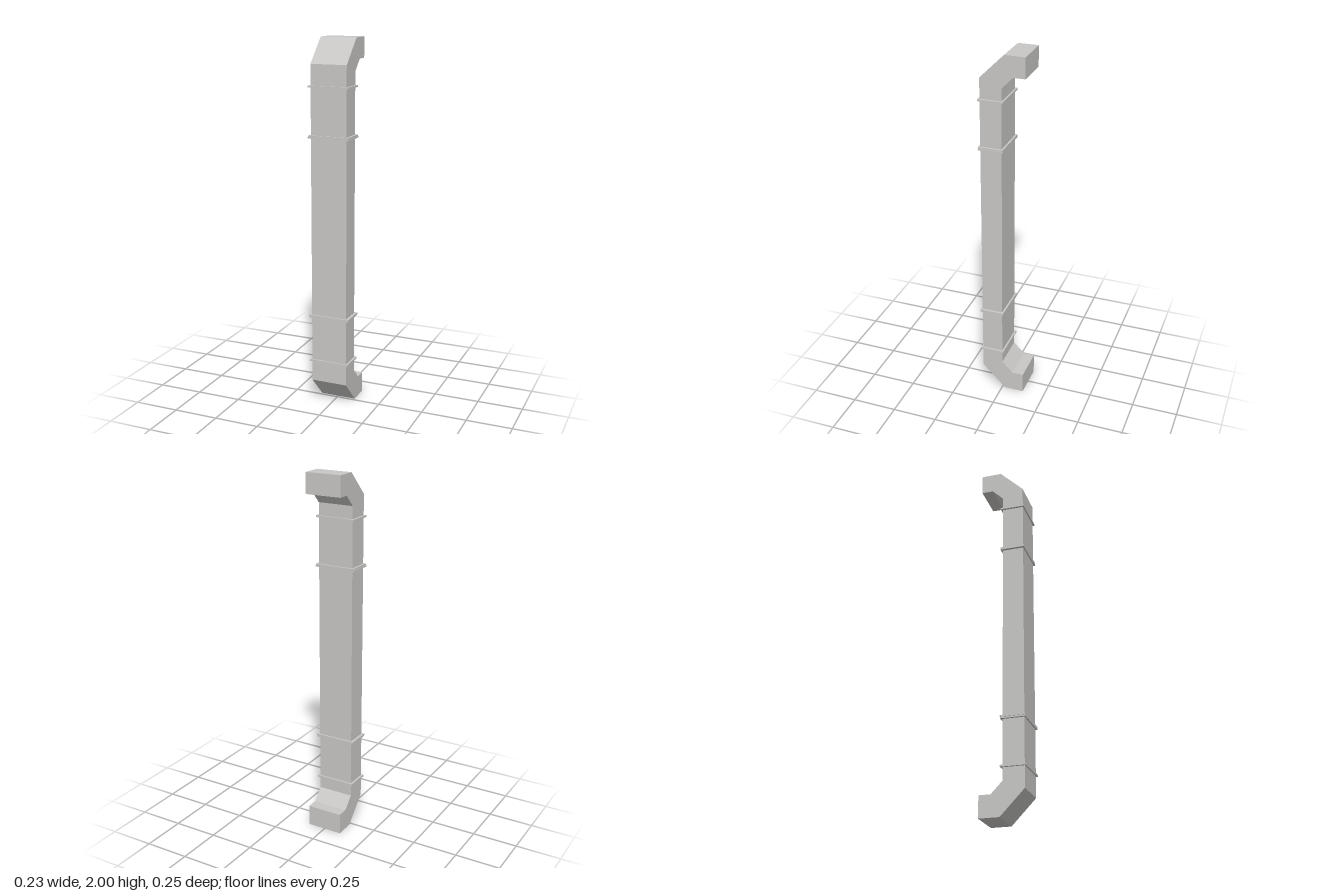
import * as THREE from 'three';

const WIDTH = 0.2, BACK = -0.001, FRONT = 0.115, MID = (BACK + FRONT) / 2;

export function createModel() {
  const model = new THREE.Group();
  model.name = 'ventilationDuct';
  const metal = new THREE.MeshStandardMaterial({ color: 0xc8c7c5, flatShading: true });
  metal.name = 'galvanizedGrey';

  const add = (geometry, name, y = 0, z = 0) => {
    const mesh = new THREE.Mesh(geometry, metal);
    mesh.name = name;
    mesh.position.set(0, y, z);
    model.add(mesh);
  };

  // Elbow: a (z, y) side profile extruded across the width
  const elbow = (points, name) => {
    const shape = new THREE.Shape(points.map(([z, y]) => new THREE.Vector2(z, y)));
    const geometry = new THREE.ExtrudeGeometry(shape, { depth: WIDTH, bevelEnabled: false });
    geometry.translate(0, 0, -WIDTH / 2).rotateY(-Math.PI / 2);
    add(geometry, name);
  };

  const joints = [0.254, 0.511, 1.496, 1.756];

  elbow([[-0.015, 0], [FRONT, 0.135], [FRONT, joints[0]], [BACK, joints[0]],
    [BACK, 0.18], [-0.062, 0.117], [-0.125, 0.117], [-0.125, 0]], 'bottomElbow');
  elbow([[-0.015, 2], [-0.125, 2], [-0.125, 1.89], [-0.062, 1.89],
    [BACK, 1.828], [BACK, joints[3]], [FRONT, joints[3]], [FRONT, 1.871]], 'topElbow');

  // Straight duct sections between the joints
  ['lowerSection', 'mainSection', 'upperSection'].forEach((name, i) => {
    const height = joints[i + 1] - joints[i];
    add(new THREE.BoxGeometry(WIDTH, height, FRONT - BACK), name, joints[i] + height / 2, MID);
  });

  // Flange collars: single at the elbows, paired plates on the main section
  const flange = (y, width, height, name) =>
    add(new THREE.BoxGeometry(width, height, 0.134), name, y, 0.056);
  flange(joints[0], 0.224, 0.01, 'bottomFlange');
  flange(joints[3], 0.224, 0.01, 'topFlange');
  for (const [y, side] of [[joints[1], 1], [joints[2], -1]]) {
    flange(y + side * 0.004, 0.23, 0.008, 'mainFlange');
    flange(y - side * 0.004, 0.224, 0.008, 'sectionFlange');
  }
  return model;
}
